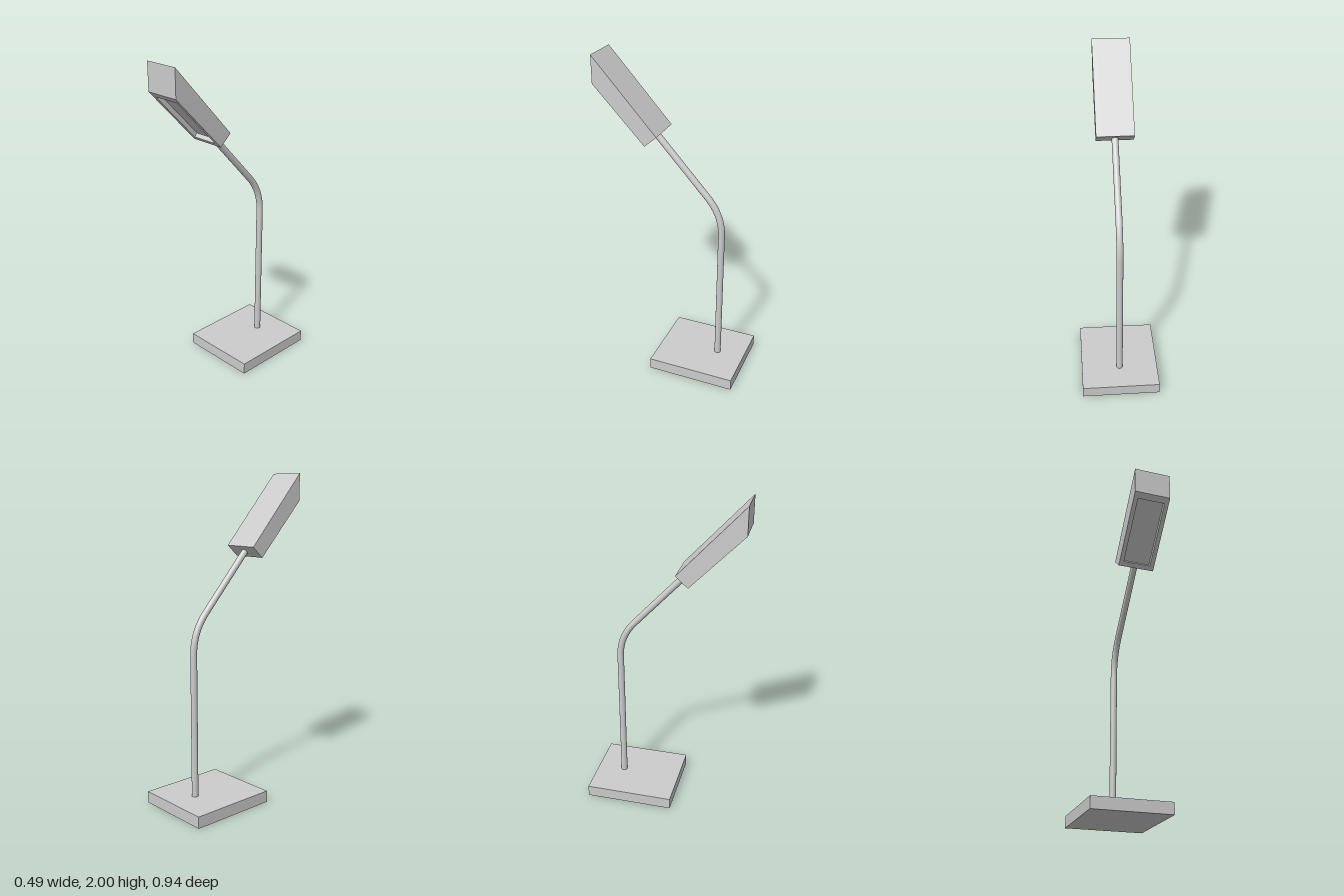
import * as THREE from 'three';

const material = new THREE.MeshStandardMaterial({ color: 0xcccccc });

function addMesh(parent, name, geometry) {
  const mesh = new THREE.Mesh(geometry, material);
  mesh.name = name;
  parent.add(mesh);
  return mesh;
}

// Extrudes a side profile of [z, y] points across x, from x0 to x1.
function sideExtrude(points, x0, x1) {
  const shape = new THREE.Shape(points.map(([z, y]) => new THREE.Vector2(z, y)));
  const geometry = new THREE.ExtrudeGeometry(shape, { depth: x1 - x0, bevelEnabled: false });
  return geometry.rotateY(-Math.PI / 2).translate(x1, 0, 0);
}

export function createModel() {
  const lamp = new THREE.Group();
  lamp.name = 'deskLamp';

  // Flat base slab
  addMesh(lamp, 'base', new THREE.BoxGeometry(0.488, 0.072, 0.55)).position.set(0, 0.036, -0.195);

  // Stem: upright, bend, then sloping arm
  const at = (z, y) => new THREE.Vector3(-0.001, y, z);
  const path = new THREE.CurvePath();
  const bendStart = at(-0.295, 0.95), bendEnd = at(-0.2, 1.19);
  path.add(new THREE.LineCurve3(at(-0.295, 0.04), bendStart));
  path.add(new THREE.QuadraticBezierCurve3(bendStart, at(-0.295, 1.087), bendEnd));
  path.add(new THREE.LineCurve3(bendEnd, at(0.125, 1.545)));
  addMesh(lamp, 'stem', new THREE.TubeGeometry(path, 100, 0.02, 24));

  // Head: slanted box with a vertical front end
  const head = new THREE.Group();
  head.name = 'head';
  lamp.add(head);
  const topFront = [0.47, 2.0], lowFront = [0.47, 1.833];
  const lowBack = [0.151, 1.5], topBack = [0.076, 1.567];

  // Points along the underside, and their recessed partners
  const under = (t, depth) => [
    lowBack[0] + (lowFront[0] - lowBack[0]) * t - depth * 0.72,
    lowBack[1] + (lowFront[1] - lowBack[1]) * t + depth * 0.69,
  ];
  const depth = 0.027, near = 0.065, far = 0.915;

  // Solid cheeks on both sides of the light recess
  const full = [topFront, topBack, lowBack, lowFront];
  addMesh(head, 'rightCheek', sideExtrude(full, -0.114, -0.087));
  addMesh(head, 'leftCheek', sideExtrude(full, 0.084, 0.111));

  // Middle of the head, notched for the recess
  const notched = [
    topFront, topBack, lowBack,
    under(near, 0), under(near, depth), under(far, depth), under(far, 0),
    lowFront,
  ];
  addMesh(head, 'recessedMiddle', sideExtrude(notched, -0.087, 0.084));

  return lamp;
}
